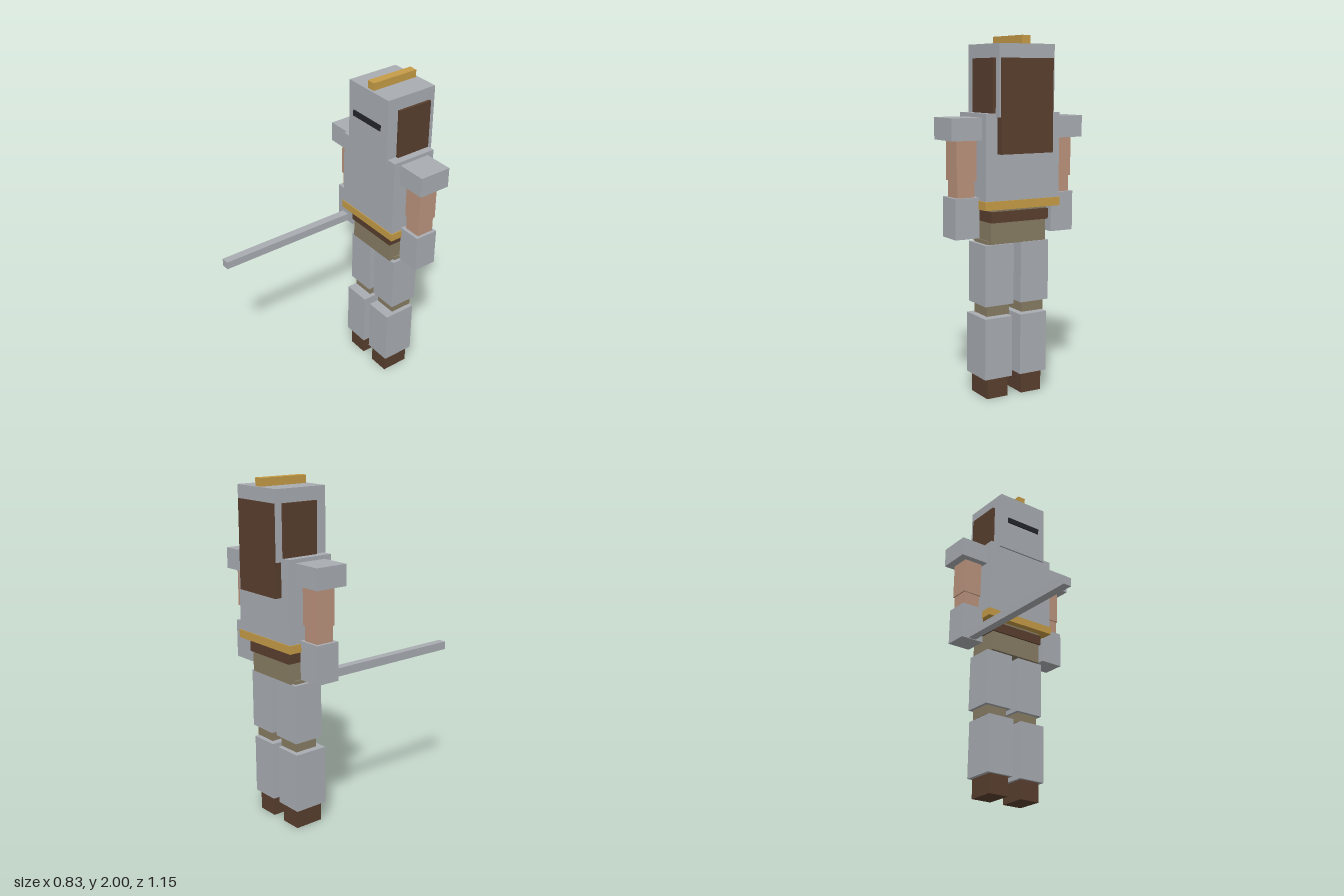
import * as THREE from 'three';

const material = (name, color) => {
  const m = new THREE.MeshStandardMaterial({ color });
  m.name = name;
  return m;
};

export function createModel() {
  const steel = material('steel', 0xa9adb2);
  const gold = material('gold', 0xc69c47);
  const leather = material('brown', 0x593f2e);
  const skin = material('skin', 0xbc937d);
  const cloth = material('khaki cloth', 0x887d64);
  const dark = material('dark slit', 0x22252d);

  const model = new THREE.Group();
  model.name = 'armouredFigure';

  // Box given by its extents on each axis
  const box = (parent, name, mat, [x0, x1], [y0, y1], [z0, z1]) => {
    const mesh = new THREE.Mesh(new THREE.BoxGeometry(x1 - x0, y1 - y0, z1 - z0), mat);
    mesh.position.set((x0 + x1) / 2, (y0 + y1) / 2, (z0 + z1) / 2);
    mesh.name = name;
    parent.add(mesh);
  };
  const group = (name) => {
    const g = new THREE.Group();
    g.name = name;
    model.add(g);
    return g;
  };

  // Head: helmet, crest, eye slit and hair
  const head = group('head');
  box(head, 'helmet', steel, [-0.172, 0.172], [1.57, 1.955], [-0.568, -0.236]);
  box(head, 'crest', gold, [-0.026, 0.026], [1.95, 2], [-0.553, -0.25]);
  box(head, 'eyeSlit', dark, [-0.12, 0.12], [1.755, 1.79], [-0.231, -0.224]);
  box(head, 'backHair', leather, [-0.163, 0.163], [1.375, 1.88], [-0.574, -0.53]);

  // Trunk: breastplate, gold hem, belt and hips
  const trunk = group('trunk');
  box(trunk, 'breastplate', steel, [-0.232, 0.232], [1.08, 1.59], [-0.533, -0.247]);
  box(trunk, 'goldHem', gold, [-0.238, 0.238], [1.076, 1.123], [-0.538, -0.242]);
  box(trunk, 'belt', leather, [-0.182, 0.182], [1.0, 1.06], [-0.505, -0.277]);
  box(trunk, 'hips', cloth, [-0.175, 0.175], [0.88, 1.09], [-0.49, -0.287]);

  // Mirrored limbs and side hair
  for (const [side, s] of [['left', 1], ['right', -1]]) {
    const span = (a, b) => (s > 0 ? [a, b] : [-b, -a]);

    box(head, side + 'SideHair', leather, span(0.15, 0.188), [1.575, 1.88], [-0.53, -0.307]);

    const arm = group(side + 'Arm');
    box(arm, 'shoulderPlate', steel, span(0.21, 0.414), [1.448, 1.568], [-0.491, -0.291]);
    box(arm, 'upperArm', skin, span(0.246, 0.365), [1.23, 1.5], [-0.454, -0.332]);
    box(arm, 'forearm', skin, span(0.252, 0.358), [1.1, 1.23], [-0.447, -0.339]);
    box(arm, 'gauntlet', steel, span(0.231, 0.377), [0.918, 1.14], [-0.462, -0.317]);

    const leg = group(side + 'Leg');
    box(leg, 'innerLeg', cloth, span(0.042, 0.183), [0.475, 0.897], [-0.462, -0.32]);
    box(leg, 'thighPlate', steel, span(0.023, 0.204), [0.535, 0.876], [-0.48, -0.297]);
    box(leg, 'shinPlate', steel, span(0.027, 0.2), [0.117, 0.463], [-0.473, -0.266]);
    box(leg, 'boot', leather, span(0.046, 0.176), [0, 0.2], [-0.456, -0.282]);
  }

  // Sword blade held forward in the right hand
  box(model, 'sword', steel, [-0.331, -0.281], [0.922, 0.97], [-0.42, 0.572]);

  return model;
}
